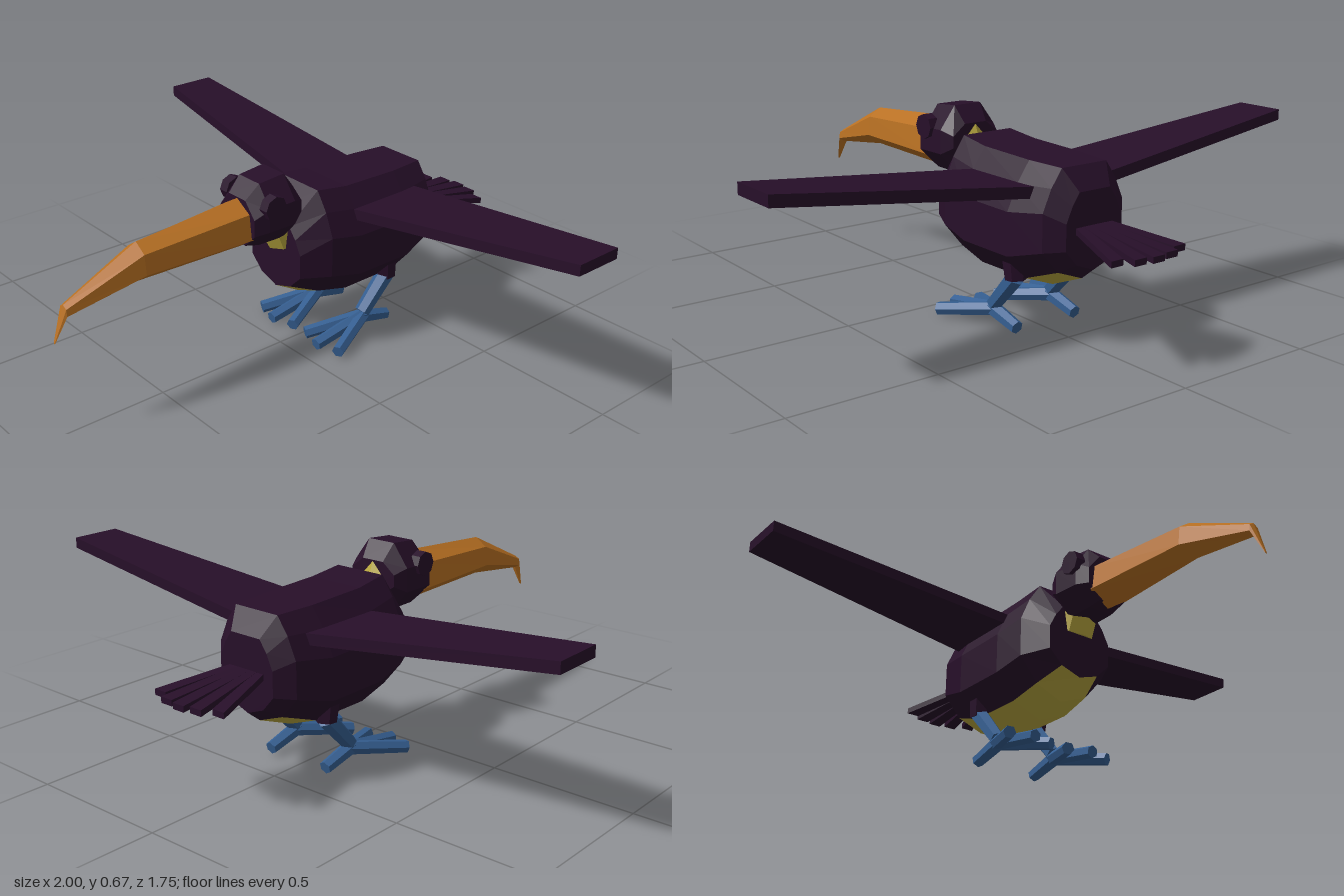
import * as THREE from 'three';

const mat = (name, color) => {
  const m = new THREE.MeshStandardMaterial({ color, flatShading: true });
  m.name = name;
  return m;
};

// Skin a list of rings (counter-clockwise seen from +z, ordered front to back).
// slot(i, j) picks the material group of each quad.
function loft(rings, slot = () => 0) {
  const n = rings[0].length, faces = [[], []];
  rings.slice(1).forEach((_, i) => {
    for (let j = 0; j < n; j++) {
      const a = i * n + j, b = i * n + (j + 1) % n;
      faces[slot(i, j)].push(a, a + n, b, b, a + n, b + n);
    }
  });
  const last = (rings.length - 1) * n;
  for (let j = 1; j < n - 1; j++) faces[0].push(0, j, j + 1, last, last + j + 1, last + j);
  const g = new THREE.BufferGeometry();
  g.setAttribute('position', new THREE.Float32BufferAttribute(rings.flat(2), 3));
  g.setIndex([...faces[0], ...faces[1]]);
  g.addGroup(0, faces[0].length, 0);
  g.addGroup(faces[0].length, faces[1].length, 1);
  const flat = g.toNonIndexed();
  flat.computeVertexNormals();
  return flat;
}

// Mirror a half section of [x, y] fractions into a ring: station = [z, bottom, top, half width].
function ring(half, [z, bottom, top, w]) {
  const point = ([x, y]) => [x * w, bottom + y * (top - bottom), z];
  const left = half.map(point);
  const right = half.filter(p => p[0] > 0).reverse().map(([x, y]) => point([-x, y]));
  return [...left, ...right];
}

// Tapered six-sided rod between two points.
function rod(a, b, r0, r1, sides = 6) {
  const from = new THREE.Vector3(...a), to = new THREE.Vector3(...b);
  const dir = to.clone().sub(from);
  const g = new THREE.CylinderGeometry(r1, r0, dir.length(), sides);
  g.applyQuaternion(new THREE.Quaternion().setFromUnitVectors(new THREE.Vector3(0, 1, 0), dir.normalize()));
  const mid = from.add(to).multiplyScalar(0.5);
  return g.translate(mid.x, mid.y, mid.z);
}

export function createModel() {
  const model = new THREE.Group();
  model.name = 'bird';
  const plum = mat('dark plum feathers', 0x270f29);
  const orange = mat('orange beak', 0xb87022);
  const yellow = mat('yellow skin', 0xbcaa40);
  const blue = mat('blue legs', 0x355f92);
  const add = (name, geometry, material, parent = model) => {
    const m = new THREE.Mesh(geometry, material);
    m.name = name;
    parent.add(m);
    return m;
  };

  // Body with a yellow belly strip
  const bodyHalf = [[0, 0], [0.6, 0.1], [1, 0.3], [1, 0.64], [0.8, 0.84], [0.55, 1]];
  const body = [
    [0.02, 0.235, 0.48, 0.125], [-0.08, 0.18, 0.59, 0.173], [-0.2, 0.152, 0.575, 0.185],
    [-0.42, 0.155, 0.57, 0.185], [-0.555, 0.21, 0.568, 0.16], [-0.605, 0.25, 0.5, 0.11],
  ].map(s => ring(bodyHalf, s));
  const n = body[0].length;
  add('body', loft(body, (i, j) => (i < 4 && (j === 0 || j === n - 1) ? 1 : 0)), [plum, yellow]);

  // Neck and head
  add('neck', rod([0, 0.41, -0.02], [0, 0.58, 0.05], 0.07, 0.07, 8), yellow);
  const headHalf = [[0.45, 0], [1, 0.3], [1, 0.66], [0.48, 1]];
  add('head', loft([
    [0.18, 0.45, 0.61, 0.088], [0.13, 0.44, 0.658, 0.105],
    [0.03, 0.44, 0.667, 0.11], [-0.015, 0.5, 0.61, 0.09],
  ].map(s => ring(headHalf, s))), plum);

  // Long beak with a hooked tip
  const beakHalf = [[0, 0], [1, 0.28], [0.85, 0.78], [0, 1]];
  add('beak', loft([
    [0.875, 0.33, 0.336, 0.004], [0.835, 0.405, 0.45, 0.02],
    [0.57, 0.44, 0.575, 0.052], [0.17, 0.432, 0.607, 0.075],
  ].map(s => ring(beakHalf, s))), orange);

  for (const s of [1, -1]) {
    const side = s > 0 ? 'left' : 'right';
    const eye = new THREE.CylinderGeometry(0.042, 0.042, 0.035, 8).rotateZ(Math.PI / 2);
    add(side + 'Eye', eye.translate(s * 0.103, 0.59, 0.115), plum);

    // Wing: a plate that rises and narrows towards the tip
    const wing = new THREE.BoxGeometry(1, 1, 1);
    const p = wing.attributes.position;
    for (let i = 0; i < p.count; i++) {
      const t = p.getX(i) * s + 0.5;
      const front = THREE.MathUtils.lerp(-0.19, -0.283, t);
      const back = THREE.MathUtils.lerp(-0.49, -0.457, t);
      p.setXYZ(i, s * (0.1 + 0.9 * t), 0.483 + 0.107 * t + p.getY(i) * 0.037,
        p.getZ(i) > 0 ? front : back);
    }
    wing.computeVertexNormals();
    add(side + 'Wing', wing, plum);

    // Leg, three front toes and one back toe
    const leg = new THREE.Group();
    leg.name = side + 'Leg';
    leg.position.x = s * 0.12;
    model.add(leg);
    add('thigh', rod([0, 0.3, -0.375], [0, 0.185, -0.385], 0.045, 0.035), plum, leg);
    add('shin', rod([0, 0.195, -0.385], [0, 0.075, -0.275], 0.032, 0.027), blue, leg);
    for (const [x, z] of [[-0.085, -0.085], [0, -0.06], [0.085, -0.085]])
      add('frontToe', rod([0, 0.06, -0.28], [x, 0.023, z], 0.024, 0.022), blue, leg);
    add('backToe', rod([0, 0.06, -0.265], [0, 0.027, -0.392], 0.026, 0.022), blue, leg);
  }

  // Fan of five tail feathers
  for (let i = -2; i <= 2; i++) {
    const feather = new THREE.BoxGeometry(1, 0.02, 1);
    const p = feather.attributes.position;
    for (let k = 0; k < p.count; k++) {
      const tip = p.getZ(k) < 0;
      p.setX(k, tip ? i * 0.062 + p.getX(k) * 0.046 : i * 0.024 + p.getX(k) * 0.032);
      p.setZ(k, tip ? -0.878 + 0.01 * i * i : -0.58);
      p.setY(k, p.getY(k) + (tip ? 0.352 : 0.385));
    }
    feather.computeVertexNormals();
    add('tailFeather', feather, plum);
  }
  return model;
}
